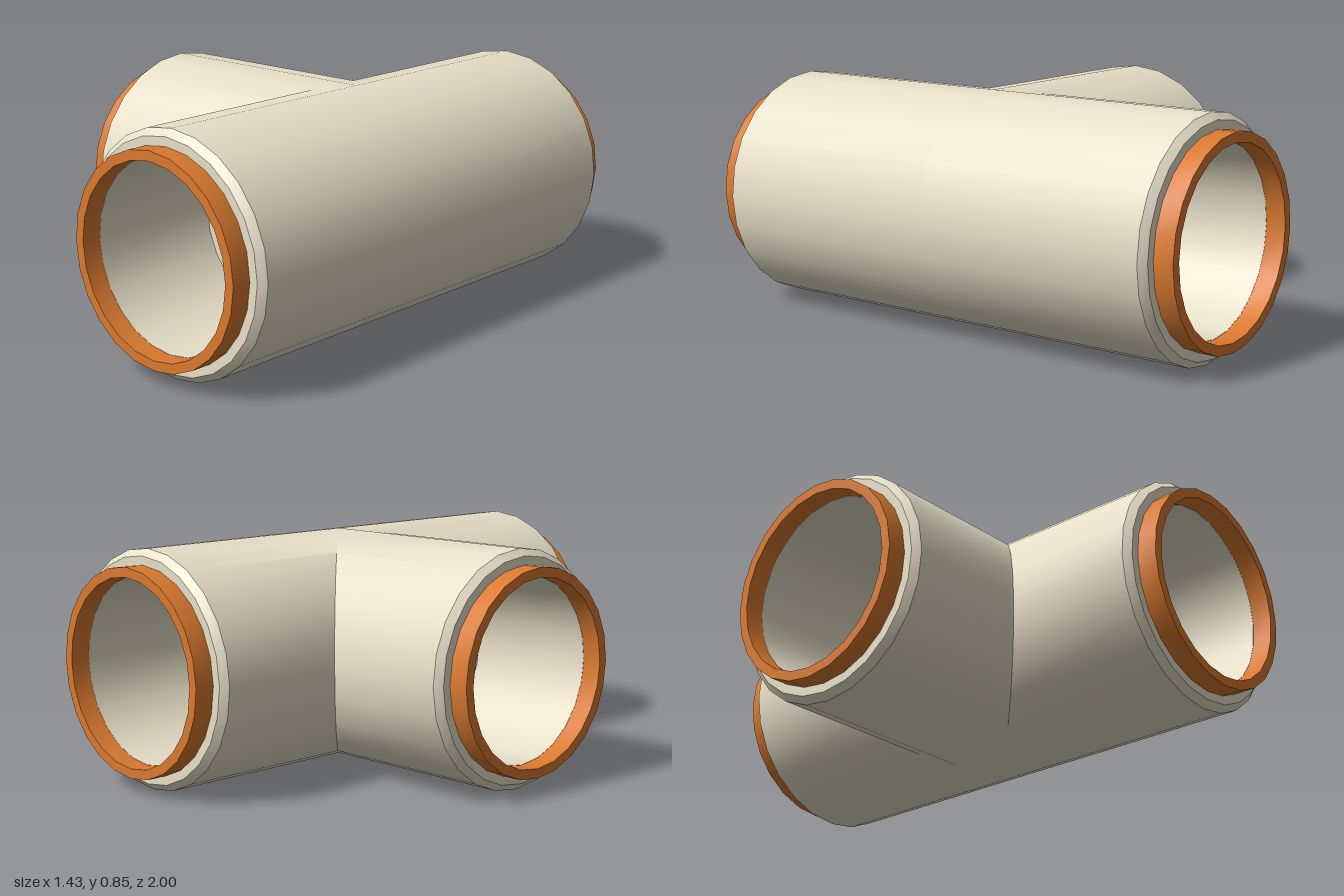
import * as THREE from 'three';
import { mergeGeometries, toCreasedNormals } from 'three/addons/utils/BufferGeometryUtils.js';

const SIDES = 24;
const R = 0.427; // outer radius of the fitting
const CENTRE = [0.286, R, 0]; // where the three axes meet

const cream = new THREE.MeshStandardMaterial({ color: 0xe6dfc8 });
const orange = new THREE.MeshStandardMaterial({ color: 0xd9792f });

// Turns a profile of [radius, distance from the centre] around the y axis
function turn(profile) {
  return new THREE.LatheGeometry(profile.map(([r, d]) => new THREE.Vector2(r, d)), SIDES);
}

// Outer wall, chamfer, end face, socket, stop ring and inner bore
const armProfile = [
  [R, 0], [R, 0.903], [0.403, 0.927], [0.335, 0.927],
  [0.335, 0.42], [0.275, 0.42], [0.275, 0],
];

// An arm whose inner ends are pushed out to the mitre line with its neighbours
function arm(mitre) {
  const geometry = turn(armProfile);
  const p = geometry.attributes.position;
  for (let i = 0; i < p.count; i++) {
    if (p.getY(i) === 0) p.setY(i, mitre(p.getX(i), p.getZ(i)));
  }
  return geometry;
}

// Short sleeve standing out of an open end
function sleeve() {
  const profile = [[0.371, 0.927], [0.371, 1], [0.336, 1], [0.336, 0.927]];
  return toCreasedNormals(turn(profile), 0.6);
}

export function createModel() {
  const group = new THREE.Group();
  group.name = 'pipeTee';

  // Each arm: name, turn onto its axis, mitre rule
  const runMitre = (x) => Math.max(0, -x);
  const arms = [
    ['front', (g) => g.rotateX(Math.PI / 2), runMitre],
    ['back', (g) => g.rotateX(-Math.PI / 2), runMitre],
    ['branch', (g) => g.rotateZ(Math.PI / 2), (x, z) => Math.abs(z)],
  ];

  // Body: the three arms joined into one shell
  const shell = mergeGeometries(arms.map(([, place, mitre]) => place(arm(mitre))));
  const body = new THREE.Mesh(toCreasedNormals(shell, 0.6), cream);
  body.name = 'teeBody';
  body.position.set(...CENTRE);
  group.add(body);

  // Sleeves at the three openings
  for (const [name, place] of arms) {
    const ring = new THREE.Mesh(place(sleeve()), orange);
    ring.name = name + 'Sleeve';
    ring.position.set(...CENTRE);
    group.add(ring);
  }
  return group;
}
